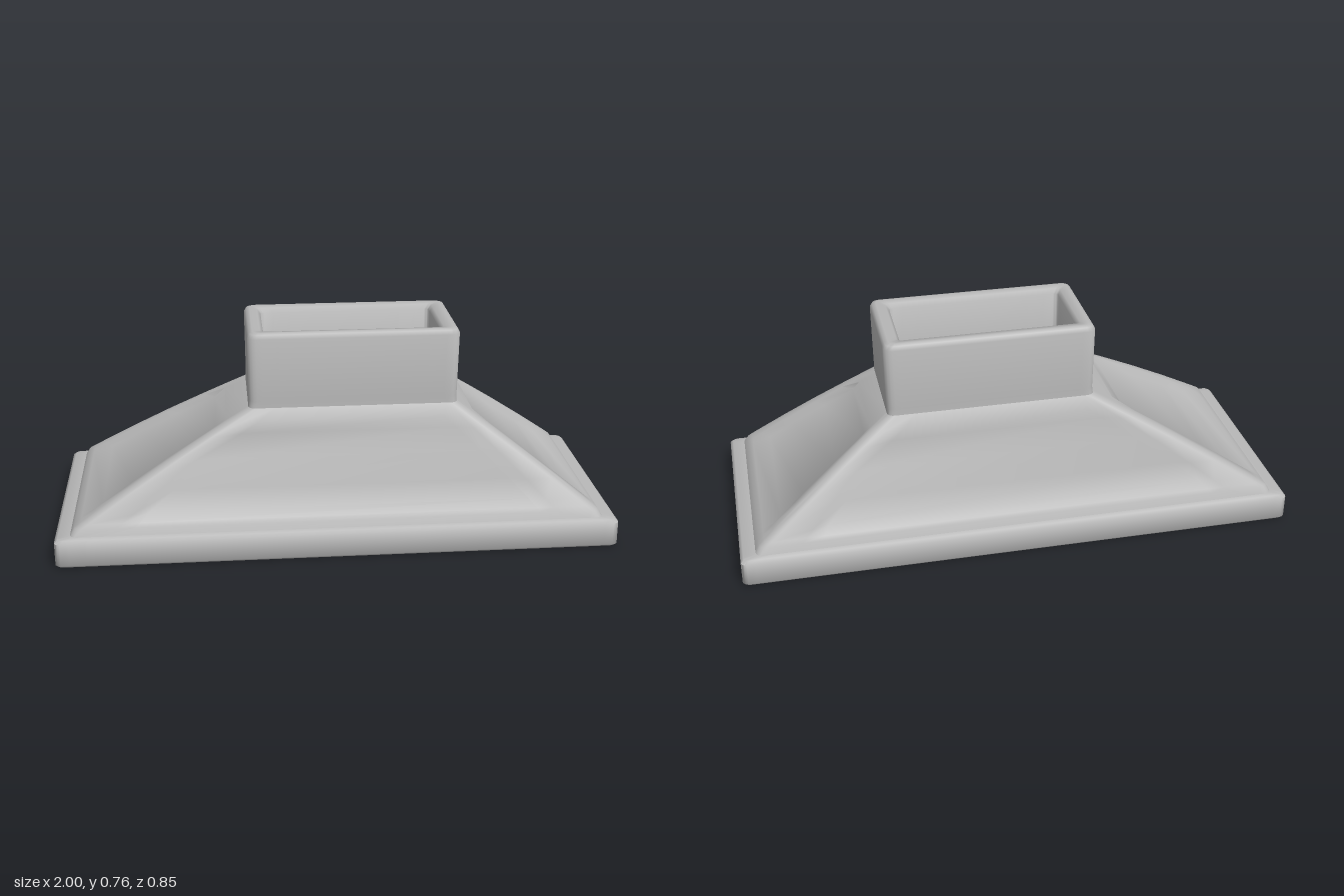
import * as THREE from 'three';
import { toCreasedNormals } from 'three/addons/utils/BufferGeometryUtils.js';

// One horizontal ring: a rounded rectangle whose four sides may sink in between corner ridges.
function ring(y, x0, x1, hz, r = 0.015, o = {}) {
  const { wx = 0.05, wz = 0.04, dx = 0, dz = 0 } = o;
  const stepX = 0.06, stepZ = 0.03, n = 4, pts = [];
  const arc = (cx, cz, a0) => {
    for (let i = 0; i <= n; i++) {
      const a = a0 + (i / n) * Math.PI / 2;
      pts.push([cx + r * Math.cos(a), y, cz + r * Math.sin(a)]);
    }
  };
  const endSide = (x, s) => { // side panel at one end, running along s * z
    const xi = x - Math.sign(x) * dx;
    pts.push([x, y, -s * (hz - wz)], [xi, y, -s * (hz - wz - stepZ)],
      [xi, y, s * (hz - wz - stepZ)], [x, y, s * (hz - wz)]);
  };
  const longSide = (a, b, s) => { // front or back panel, running from a to b
    const k = Math.sign(b - a), z = s * hz, zi = s * (hz - dz);
    pts.push([a + k * wx, y, z], [a + k * (wx + stepX), y, zi],
      [b - k * (wx + stepX), y, zi], [b - k * wx, y, z]);
  };
  endSide(x1, 1);
  arc(x1 - r, hz - r, 0);
  longSide(x1, x0, 1);
  arc(x0 + r, hz - r, Math.PI / 2);
  endSide(x0, -1);
  arc(x0 + r, -hz + r, Math.PI);
  longSide(x0, x1, -1);
  arc(x1 - r, -hz + r, Math.PI * 1.5);
  return pts;
}

// Skin a list of rings
function loft(name, rings, material) {
  const n = rings[0].length, index = [];
  for (let k = 0; k < rings.length - 1; k++) {
    for (let i = 0; i < n; i++) {
      const a = k * n + i, b = k * n + (i + 1) % n;
      index.push(a, a + n, b, b, a + n, b + n);
    }
  }
  const g = new THREE.BufferGeometry();
  g.setAttribute('position', new THREE.Float32BufferAttribute(rings.flat(2), 3));
  g.setIndex(index);
  const mesh = new THREE.Mesh(toCreasedNormals(g, 0.95), material);
  mesh.name = name;
  return mesh;
}

export function createModel() {
  const metal = new THREE.MeshStandardMaterial({ color: 0xb8b8b8, side: THREE.DoubleSide });
  metal.name = 'grey metal';
  const group = new THREE.Group();
  group.name = 'rangeHood';
  const mix = THREE.MathUtils.lerp;

  // Slightly bulging canopy section: t = 0 at the foot, 1 at the neck
  const slope = (t, d = 0) => {
    const bulge = Math.sin(Math.PI * t);
    return ring(mix(0.13, 0.485, t), mix(-0.93, -0.31, t) - 0.015 * bulge,
      mix(0.93, 0.442, t) + 0.008 * bulge, mix(0.392, 0.195, t) + 0.005 * bulge, 0.025,
      { wx: mix(0.15, 0.04, t), wz: mix(0.06, 0.035, t), dx: 0.034 * d, dz: 0.018 * d });
  };

  const foot = ring(0.105, -0.945, 0.945, 0.402, 0.025);
  const innerFoot = ring(0, -0.83, 0.83, 0.333);
  const innerNeck = ring(0.455, -0.25, 0.38, 0.138);

  // Base band with its flat underside
  group.add(loft('baseBand', [
    innerFoot,
    ring(0, -0.992, 0.992, 0.418, 0.02),
    ring(0.008, -0.999, 0.999, 0.425, 0.02),
    ring(0.09, -0.999, 0.999, 0.425, 0.02),
    ring(0.1, -0.988, 0.988, 0.415, 0.02),
    foot,
  ], metal));

  // Canopy with shallow panels between the hip ridges
  group.add(loft('canopy', [
    foot, slope(0), slope(0.04), slope(0.11, 1), slope(0.3, 1), slope(0.55, 1),
    slope(0.77, 1), slope(0.88), slope(1),
  ], metal));

  // Hollow flue collar
  group.add(loft('flueCollar', [
    slope(1),
    ring(0.51, -0.308, 0.442, 0.194, 0.03),
    ring(0.74, -0.31, 0.446, 0.197, 0.03),
    ring(0.755, -0.302, 0.438, 0.191, 0.028),
    ring(0.76, -0.29, 0.425, 0.178, 0.02),
    ring(0.755, -0.262, 0.392, 0.15),
    ring(0.74, -0.25, 0.38, 0.138),
    innerNeck,
  ], metal));

  // Inside face of the canopy, turning in to the lip of the base opening
  group.add(loft('lining', [
    innerNeck, ring(0.1, -0.88, 0.88, 0.352), ring(0.06, -0.85, 0.85, 0.345), innerFoot,
  ], metal));

  return group;
}
